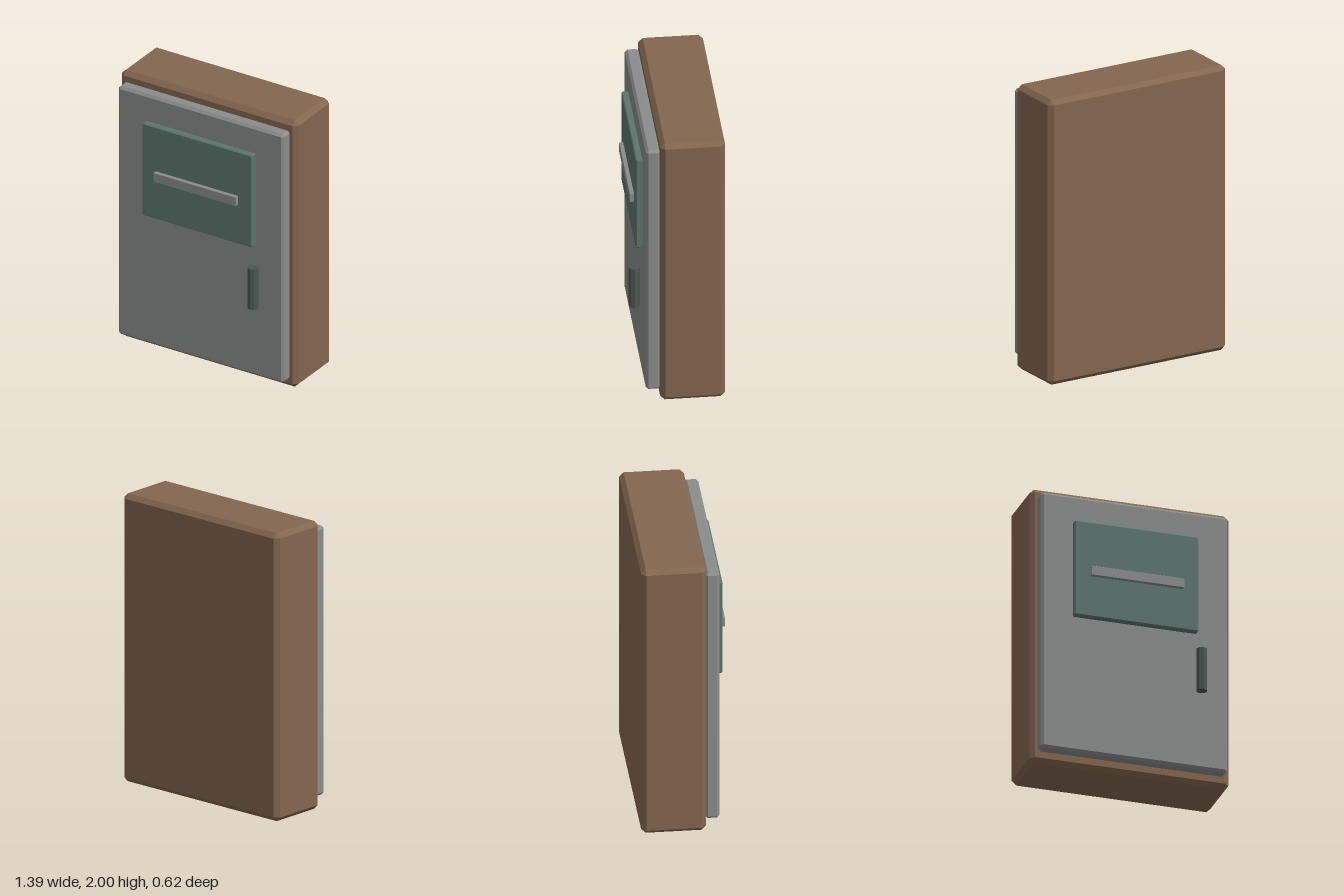
import * as THREE from 'three';
import { ConvexGeometry } from 'three/addons/geometries/ConvexGeometry.js';

const flat = (name, color) => {
  const m = new THREE.MeshStandardMaterial({ color });
  m.name = name;
  return m;
};

// Box with every edge cut by a single flat bevel
function bevelBox(w, h, d, b) {
  const pts = [];
  for (const sx of [-1, 1]) for (const sy of [-1, 1]) for (const sz of [-1, 1]) {
    const x = w / 2, y = h / 2, z = d / 2;
    pts.push(
      new THREE.Vector3(sx * x, sy * (y - b), sz * (z - b)),
      new THREE.Vector3(sx * (x - b), sy * y, sz * (z - b)),
      new THREE.Vector3(sx * (x - b), sy * (y - b), sz * z)
    );
  }
  return new ConvexGeometry(pts);
}

export function createModel() {
  const model = new THREE.Group();
  model.name = 'cabinet';
  const brown = flat('brown casing', 0x83664f);
  const grey = flat('grey metal', 0x898d8b);
  const green = flat('green panel', 0x5c766e);
  const dark = flat('dark handle', 0x4c5653);
  dark.flatShading = true;

  const add = (name, geometry, material, x, y, z) => {
    const mesh = new THREE.Mesh(geometry, material);
    mesh.name = name;
    mesh.position.set(x, y, z);
    model.add(mesh);
  };
  // Beveled slab placed by its y and z limits
  const slab = (name, material, w, y0, y1, z0, z1, bevel) =>
    add(name, bevelBox(w, y1 - y0, z1 - z0, bevel), material, 0, (y0 + y1) / 2, (z0 + z1) / 2);

  slab('casing', brown, 1.39, 0, 2, -0.31, 0.123, 0.031);
  slab('door', grey, 1.304, 0.07, 1.936, 0.121, 0.216, 0.018);
  slab('panel', green, 0.864, 1.05, 1.74, 0.2, 0.26, 0.007);
  slab('panelBar', grey, 0.648, 1.343, 1.41, 0.25, 0.288, 0.002);

  // Upright eight-sided door handle
  add('handle', new THREE.CylinderGeometry(0.038, 0.038, 0.304, 8), dark, 0.45, 0.764, 0.272);
  return model;
}
